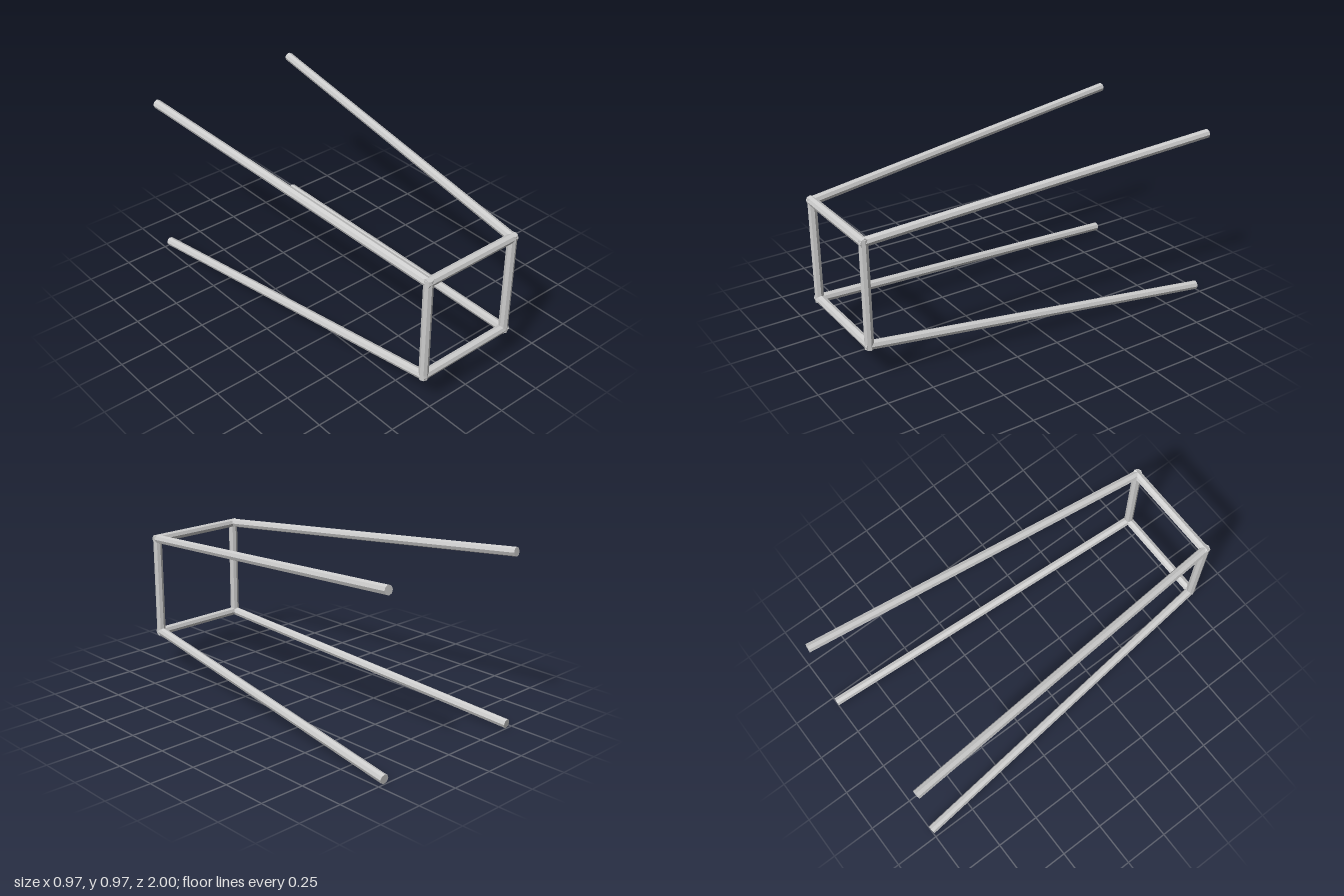
import * as THREE from 'three';

const RADIUS = 0.025, SIDES = 8;
const HALF = 0.28;      // half width of the front square
const SPREAD = 0.46;    // half spread of the rear rail ends
const CENTER_Y = 0.485;
const FRONT_Z = 0.975, BACK_Z = -0.998;
const OVERLAP = 0.018;  // how far frame bars run past the corner centres

// Octagonal bar between two points
function bar(name, start, end, material) {
  const dir = end.clone().sub(start);
  const geometry = new THREE.CylinderGeometry(RADIUS, RADIUS, dir.length(), SIDES);
  geometry.rotateX(-Math.PI / 2);
  const mesh = new THREE.Mesh(geometry, material);
  mesh.name = name;
  mesh.position.copy(start).add(end).multiplyScalar(0.5);
  mesh.quaternion.setFromUnitVectors(new THREE.Vector3(0, 0, -1), dir.normalize());
  return mesh;
}

export function createModel() {
  const group = new THREE.Group();
  const grey = new THREE.MeshStandardMaterial({ color: 0xcccccc, flatShading: true });
  grey.name = 'light grey metal';
  const point = (x, y, z) => new THREE.Vector3(x, CENTER_Y + y, z);
  const reach = HALF + OVERLAP;

  for (const s of [-1, 1]) {
    // Square front frame
    group.add(bar(s > 0 ? 'frameTop' : 'frameBottom',
      point(-reach, s * HALF, FRONT_Z), point(reach, s * HALF, FRONT_Z), grey));
    group.add(bar(s > 0 ? 'frameLeft' : 'frameRight',
      point(s * HALF, -reach, FRONT_Z), point(s * HALF, reach, FRONT_Z), grey));

    // Rails splaying backwards from the frame corners
    for (const v of [-1, 1]) {
      group.add(bar((v > 0 ? 'upper' : 'lower') + (s > 0 ? 'Left' : 'Right') + 'Rail',
        point(s * HALF, v * HALF, FRONT_Z), point(s * SPREAD, v * SPREAD, BACK_Z), grey));
    }
  }
  return group;
}
